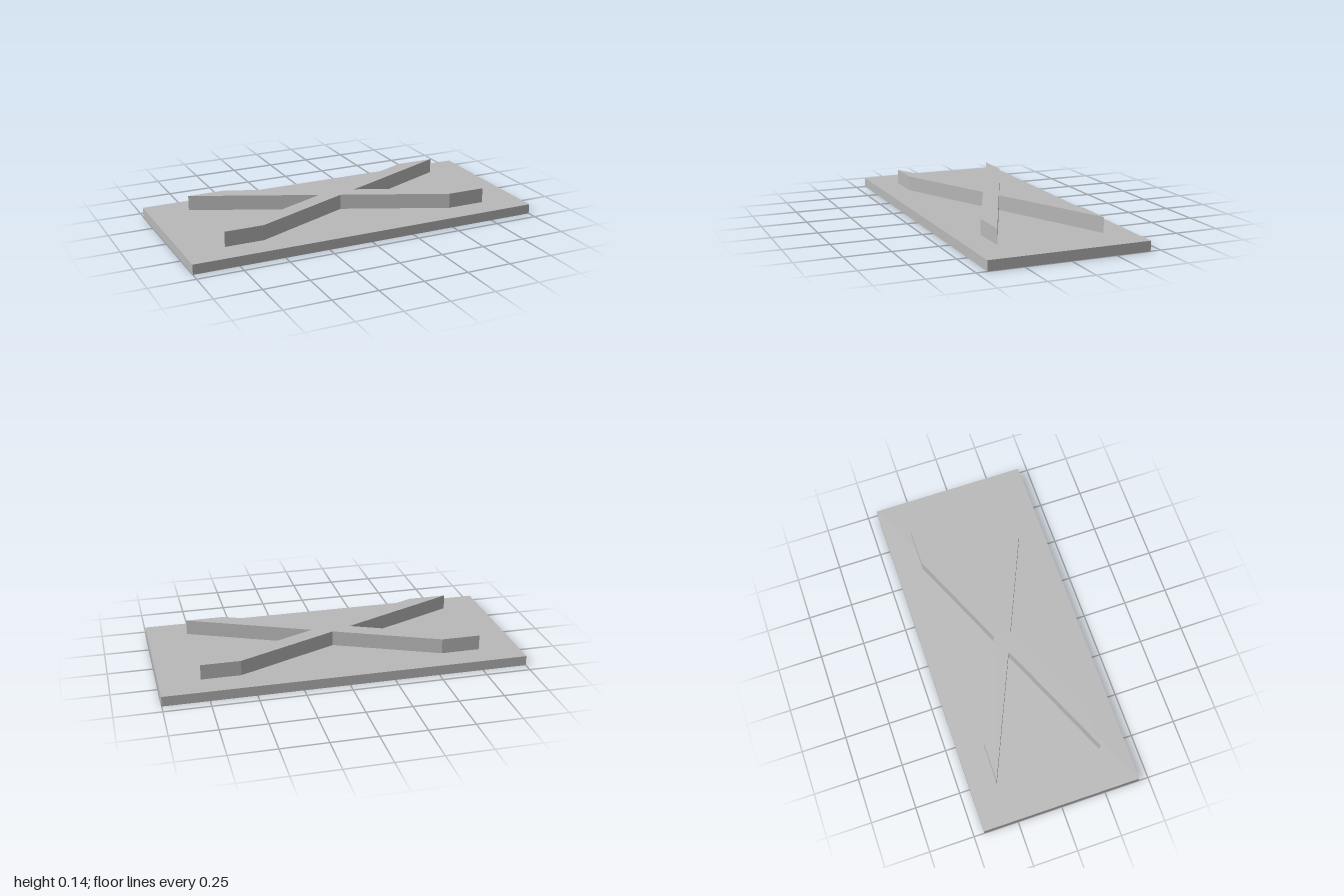
import * as THREE from 'three';

const BASE_HEIGHT = 0.055;
const CROSS_HEIGHT = 0.084;

export function createModel() {
  const model = new THREE.Group();
  model.name = 'crossPlate';
  const grey = new THREE.MeshStandardMaterial({ color: 0xb8b8b8 });
  grey.name = 'light grey';

  // Flat rectangular base
  const base = new THREE.Mesh(new THREE.BoxGeometry(2, BASE_HEIGHT, 0.885), grey);
  base.name = 'basePlate';
  base.position.y = BASE_HEIGHT / 2;
  model.add(base);

  // Raised diagonal cross with arm ends cut parallel to the long edges
  const outline = [
    [0.11, 0], [0.777, 0.296], [0.56, 0.296],
    [0, 0.049], [-0.56, 0.296], [-0.777, 0.296],
    [-0.11, 0], [-0.777, -0.296], [-0.56, -0.296],
    [0, -0.049], [0.56, -0.296], [0.777, -0.296],
  ].map(([x, y]) => new THREE.Vector2(x, y));
  const crossGeometry = new THREE.ExtrudeGeometry(new THREE.Shape(outline), {
    depth: CROSS_HEIGHT, bevelEnabled: false,
  });
  crossGeometry.rotateX(-Math.PI / 2);
  const cross = new THREE.Mesh(crossGeometry, grey);
  cross.name = 'raisedCross';
  cross.position.y = BASE_HEIGHT;
  model.add(cross);

  return model;
}
